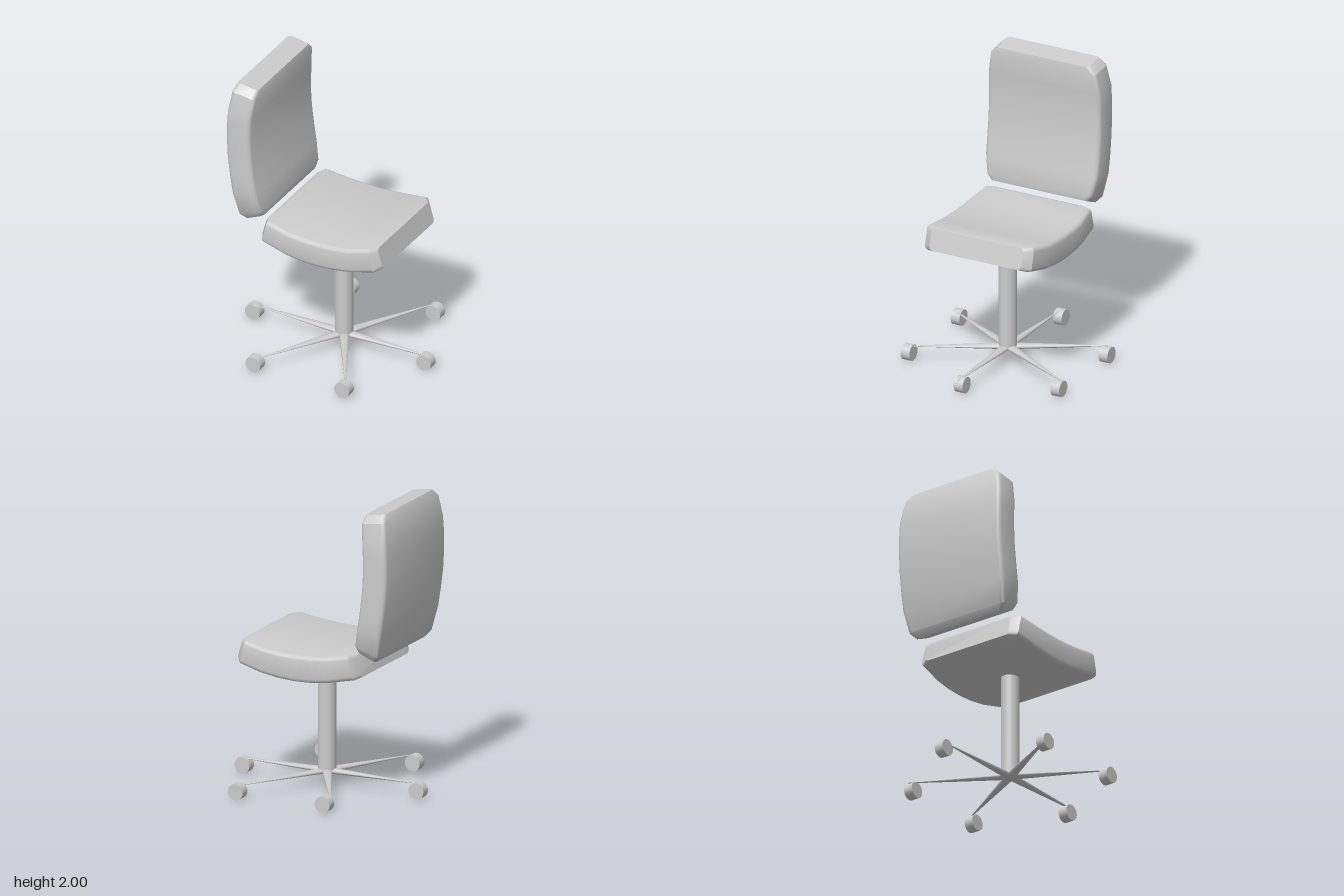
import * as THREE from 'three';
import { toCreasedNormals } from 'three/addons/utils/BufferGeometryUtils.js';

const grey = new THREE.MeshStandardMaterial({ color: 0xcccccc });

function mesh(name, geometry) {
  const m = new THREE.Mesh(geometry, grey);
  m.name = name;
  return m;
}

// Lofts rounded rectangles along a bent slab. Each station holds
// [outer x, outer y, inner x, inner y, half width in z].
function cushion(stations, zMid, radius) {
  const pos = [], index = [];
  let ring = 0;
  for (const [ox, oy, ix, iy, w] of stations) {
    const t = Math.hypot(ix - ox, iy - oy);
    const outline = [];
    // four rounded corners, in thickness (a) and width (b)
    for (let c = 0; c < 4; c++) {
      const sa = c === 0 || c === 3 ? 1 : -1, sb = c < 2 ? 1 : -1;
      for (let k = 0; k <= 3; k++) {
        const ang = (c + k / 3) * Math.PI / 2;
        outline.push([
          t / 2 + sa * (t / 2 - radius) + radius * Math.cos(ang),
          sb * (w - radius) + radius * Math.sin(ang)]);
      }
    }
    ring = outline.length;
    for (const [a, b] of outline) {
      pos.push(ox + (ix - ox) * a / t, oy + (iy - oy) * a / t, zMid + b);
    }
  }
  const n = stations.length;
  for (let s = 0; s < n - 1; s++) {
    for (let k = 0; k < ring; k++) {
      const a = s * ring + k, b = s * ring + (k + 1) % ring;
      index.push(a, a + ring, b, b, a + ring, b + ring);
    }
  }
  // flat end caps
  const last = (n - 1) * ring;
  for (let k = 1; k < ring - 1; k++) {
    index.push(0, k, k + 1, last, last + k + 1, last + k);
  }
  const g = new THREE.BufferGeometry();
  g.setAttribute('position', new THREE.Float32BufferAttribute(pos, 3));
  g.setIndex(index);
  // make the winding face outward whichever way the slab runs
  const p = g.attributes.position, v = [0, 1, 2].map(() => new THREE.Vector3());
  let volume = 0;
  for (let i = 0; i < index.length; i += 3) {
    v.forEach((q, j) => q.fromBufferAttribute(p, index[i + j]));
    volume += v[0].dot(v[1].clone().cross(v[2]));
  }
  if (volume < 0) g.setIndex(index.reverse());
  return toCreasedNormals(g, 0.6);
}

export function createModel() {
  const chair = new THREE.Group();
  chair.name = 'officeChair';

  // Seat: dished from back (-x) to front (+x)
  chair.add(mesh('seat', cushion([
    [-0.415, 0.872, -0.375, 1.015, 0.345],
    [-0.385, 0.86, -0.345, 1.025, 0.40],
    [-0.2, 0.822, -0.18, 0.995, 0.42],
    [-0.09, 0.808, -0.08, 0.987, 0.423],
    [0.03, 0.803, 0.03, 0.984, 0.423],
    [0.15, 0.81, 0.14, 0.988, 0.423],
    [0.28, 0.828, 0.26, 1.0, 0.42],
    [0.45, 0.866, 0.41, 1.03, 0.40],
    [0.492, 0.885, 0.452, 1.027, 0.345],
  ], -0.011, 0.028)));

  // Backrest: curved slab, bottom to top
  chair.add(mesh('backrest', cushion([
    [-0.522, 0.99, -0.388, 1.048, 0.36],
    [-0.555, 1.03, -0.385, 1.09, 0.395],
    [-0.59, 1.19, -0.412, 1.215, 0.42],
    [-0.61, 1.32, -0.432, 1.34, 0.422],
    [-0.627, 1.46, -0.448, 1.47, 0.422],
    [-0.634, 1.6, -0.455, 1.6, 0.422],
    [-0.632, 1.71, -0.454, 1.7, 0.422],
    [-0.626, 1.81, -0.449, 1.79, 0.42],
    [-0.605, 1.952, -0.434, 1.928, 0.395],
    [-0.585, 2.0, -0.437, 1.977, 0.345],
  ], 0.005, 0.028)));

  // Gas column
  const column = mesh('column', new THREE.CylinderGeometry(0.061, 0.061, 0.74, 32));
  column.position.set(0.02, 0.47, 0.007);
  chair.add(column);

  // Base: six legs, each with [leg tip x, z, wheel x, z]
  const feet = [
    [0.69, 0.008, 0.63, 0.005], [0.35, -0.575, 0.375, -0.575],
    [-0.31, -0.58, -0.265, -0.575], [-0.63, -0.005, -0.66, -0.01],
    [-0.3, 0.57, -0.33, 0.57], [0.345, 0.57, 0.335, 0.57],
  ];
  for (const [tx, tz, wx, wz] of feet) {
    const dx = tx - 0.02, dz = tz - 0.007, length = Math.hypot(dx, dz);
    // flattened cone lying along +x, then turned outward
    const geo = new THREE.CylinderGeometry(0.004, 0.035, length, 12)
      .rotateZ(-Math.PI / 2).translate(length / 2, 0, 0).scale(1, 0.57, 1);
    const leg = mesh('leg', geo);
    leg.position.set(0.02, 0.099, 0.007);
    leg.rotation.y = Math.atan2(-dz, dx);
    chair.add(leg);

    const wheel = mesh('wheel',
      new THREE.CylinderGeometry(0.055, 0.055, 0.066, 32).rotateX(Math.PI / 2));
    wheel.position.set(wx, 0.055, wz);
    chair.add(wheel);
  }
  return chair;
}
